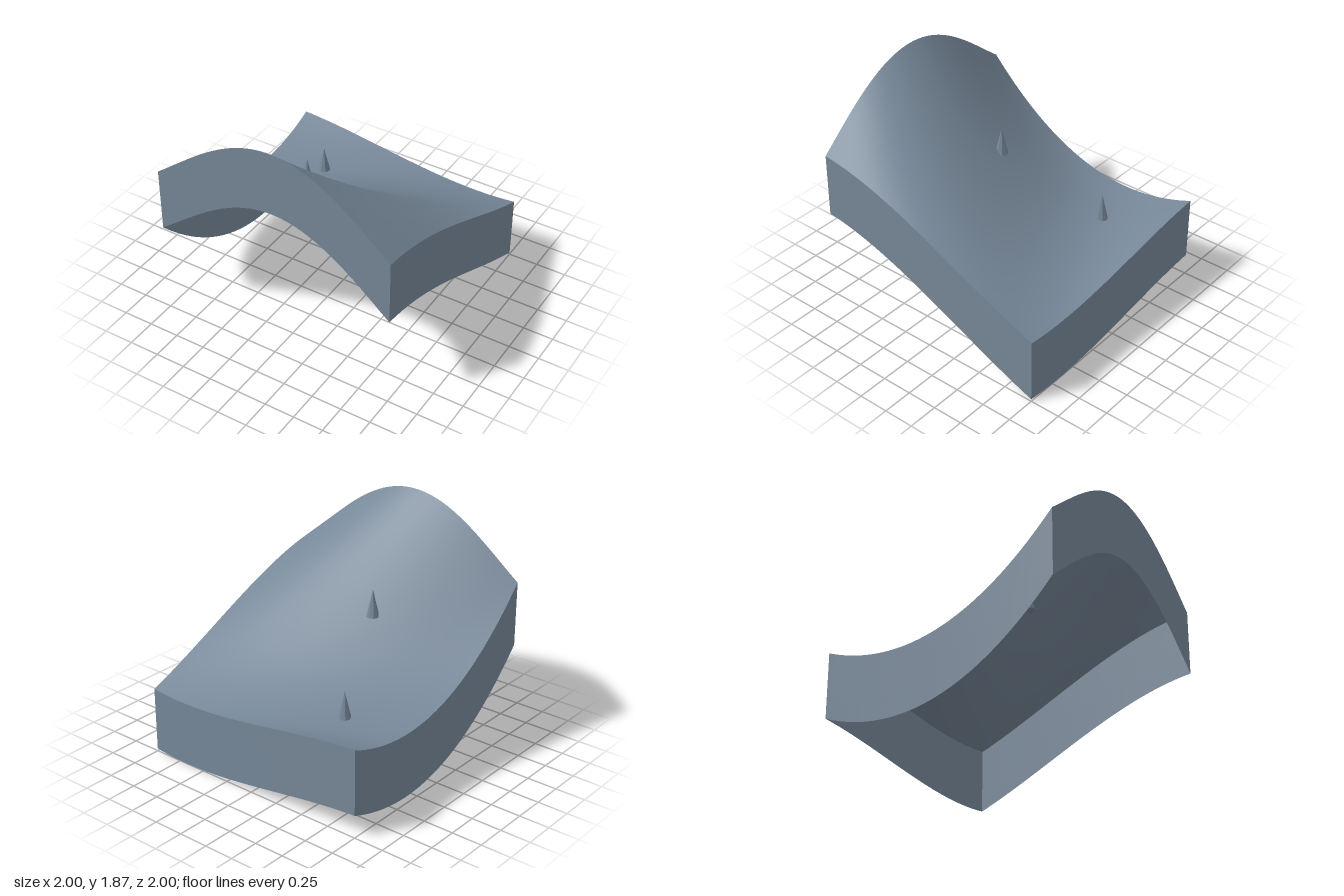
import * as THREE from 'three';

const DEPTH = 0.53; // height of the hanging side walls
const SEGMENTS = 56;

// Control heights across x (left to right on screen), from the front row to the back row
const ROWS = [
  [1.33, 1.70, 2.26, 1.75, 1.313],
  [0.60, 0.75, 1.80, 1.245],
  [0.44, 0.345, 0.58, 0.80],
  [0.715, 0.68, 0.465, 0.55],
];

// Bezier value by repeated blending, for any number of controls
function bezier(points, t) {
  let p = points;
  while (p.length > 1) p = p.slice(1).map((v, i) => p[i] + (v - p[i]) * t);
  return p[0];
}

// Height of the curved surface at (x, z)
function heightAt(x, z) {
  return bezier(ROWS.map((row) => bezier(row, (x + 1) / 2)), (1 - z) / 2);
}

// Curved sheet
function sheetGeometry() {
  const g = new THREE.PlaneGeometry(2, 2, SEGMENTS, SEGMENTS).rotateX(-Math.PI / 2);
  const p = g.attributes.position;
  for (let i = 0; i < p.count; i++) p.setY(i, heightAt(p.getX(i), p.getZ(i)));
  g.computeVertexNormals();
  return g;
}

// Vertical wall hanging from one edge of the sheet
function wallGeometry(angle) {
  const g = new THREE.PlaneGeometry(2, 1, SEGMENTS, 1).translate(0, 0, 1).rotateY(angle);
  const p = g.attributes.position;
  for (let i = 0; i < p.count; i++) {
    const drop = p.getY(i) > 0 ? 0 : DEPTH;
    p.setY(i, heightAt(p.getX(i), p.getZ(i)) - drop);
  }
  g.computeVertexNormals();
  return g;
}

export function createModel() {
  const group = new THREE.Group();
  const slate = new THREE.MeshStandardMaterial({ color: 0x778899, side: THREE.DoubleSide });
  slate.name = 'slate';
  const facetedSlate = slate; // one colour throughout

  const add = (name, geometry) => {
    const mesh = new THREE.Mesh(geometry, facetedSlate);
    mesh.name = name;
    group.add(mesh);
    return mesh;
  };

  add('curvedSurface', sheetGeometry());

  // Four side walls, open underneath
  ['frontWall', 'leftWall', 'backWall', 'rightWall'].forEach((name, i) => {
    add(name, wallGeometry((i * Math.PI) / 2));
  });

  // Small faceted spikes standing on the surface
  const spike = new THREE.ConeGeometry(0.052, 0.225, 8).translate(0, 0.1125, 0).toNonIndexed();
  spike.computeVertexNormals();
  [[-0.17, 0.25], [-0.5, -0.5]].forEach(([x, z], i) => {
    add(`spike${i + 1}`, spike).position.set(x, heightAt(x, z) - 0.01, z);
  });

  return group;
}
